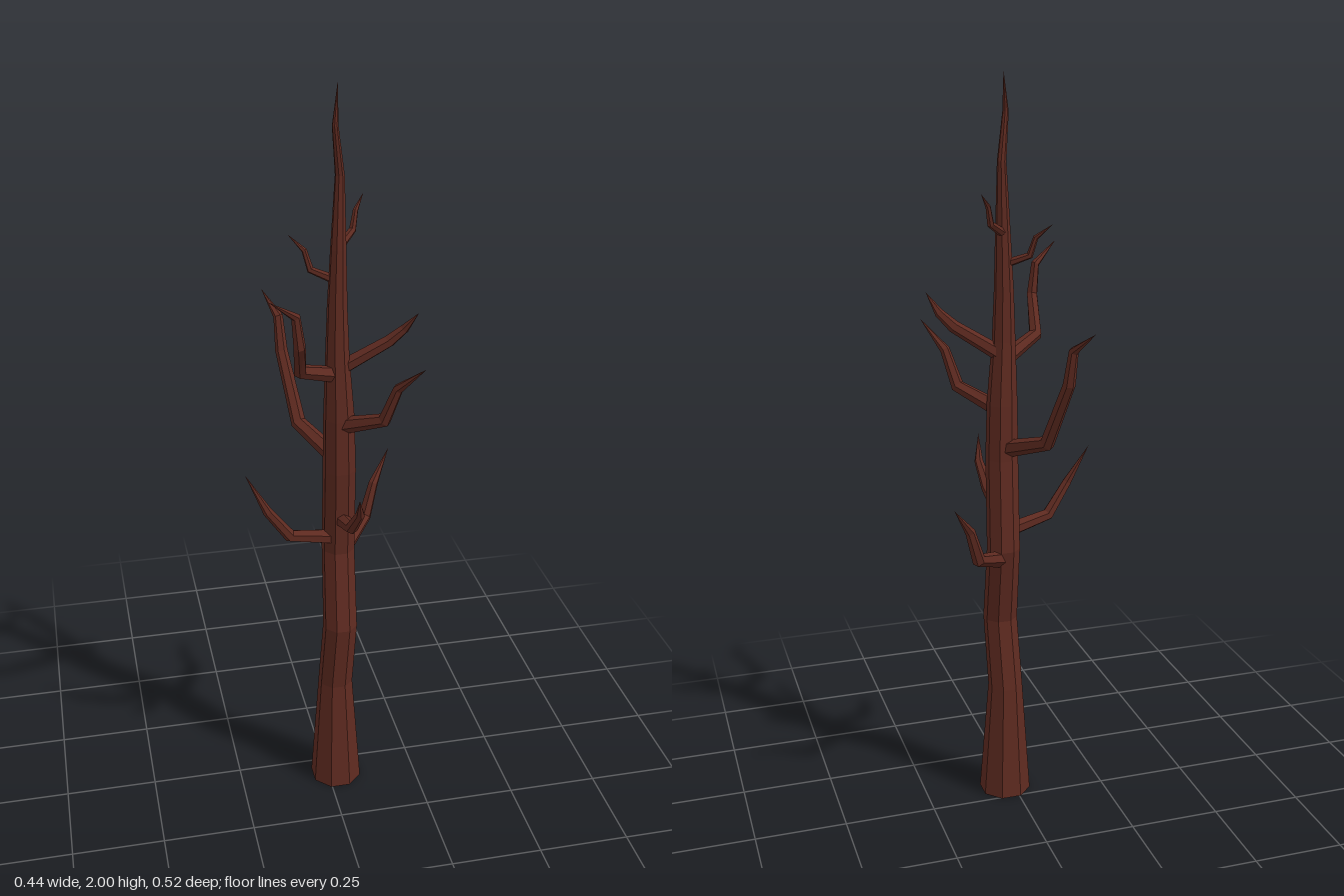
import * as THREE from 'three';

// Faceted tapering limb through [x, y, z, radius] stations; a zero radius makes a point.
function limb(stations, sides, level) {
  const pts = stations.map(s => new THREE.Vector3(s[0], s[1], s[2]));
  const side = new THREE.Vector3(1, 0, 0);
  const last = pts.length - 1;
  const rings = pts.map((p, i) => {
    const before = p.clone().sub(pts[Math.max(i - 1, 0)]).normalize();
    const after = pts[Math.min(i + 1, last)].clone().sub(p).normalize();
    const dir = level ? new THREE.Vector3(0, 1, 0) : before.add(after).normalize();
    if (i === 0 && Math.abs(dir.x) > 0.8) side.set(0, 0, 1);
    side.addScaledVector(dir, -side.dot(dir)).normalize();
    const up = new THREE.Vector3().crossVectors(dir, side);
    return Array.from({ length: sides }, (_, k) => {
      const a = (k + 0.5) / sides * Math.PI * 2;
      return p.clone()
        .addScaledVector(side, Math.cos(a) * stations[i][3])
        .addScaledVector(up, Math.sin(a) * stations[i][3]);
    });
  });
  const tris = [];
  for (let k = 0; k < sides; k++) {
    const n = (k + 1) % sides;
    tris.push(pts[0], rings[0][n], rings[0][k]); // bottom cap
    for (let i = 0; i < last; i++) {
      const [a, b, c, d] = [rings[i][k], rings[i][n], rings[i + 1][n], rings[i + 1][k]];
      tris.push(a, b, c);
      if (stations[i + 1][3] > 0) tris.push(a, c, d);
      else tris.splice(-1, 1, pts[i + 1]);
    }
  }
  const geo = new THREE.BufferGeometry().setFromPoints(tris);
  geo.computeVertexNormals();
  return geo;
}

export function createModel() {
  const tree = new THREE.Group();
  tree.name = 'bareTree';
  const bark = new THREE.MeshStandardMaterial({ color: 0x5e2a20, flatShading: true });
  bark.name = 'bark';
  const add = (name, geo) => {
    const mesh = new THREE.Mesh(geo, bark);
    mesh.name = name;
    tree.add(mesh);
  };

  // Crooked trunk, flared at the foot and ending in a bent spike
  add('trunk', limb([
    [0.024, 0, 0.061, 0.072],
    [0.023, 0.33, 0.056, 0.048],
    [0.03, 0.53, 0.08, 0.047],
    [0.033, 0.75, 0.036, 0.045],
    [0.03, 1.0, 0.058, 0.044],
    [0.028, 1.15, 0.06, 0.041],
    [0.023, 1.32, 0.06, 0.031],
    [0.022, 1.45, 0.06, 0.026],
    [0.024, 1.6, 0.06, 0.02],
    [0.028, 1.78, 0.055, 0.012],
    [0.013, 1.9, 0.07, 0.008],
    [0.02, 2.0, 0.063, 0],
  ], 8, true));

  // Crooked branches: base radius, then points from the trunk to the tip
  const branches = {
    lowBackLeftBranch: [0.023, [0.04, 0.72, 0.03], [0.135, 0.77, -0.08], [0.163, 0.86, -0.1], [0.217, 0.94, -0.15]],
    lowRightBranch: [0.022, [0.03, 0.79, 0.05], [-0.105, 0.82, 0.07], [-0.165, 0.905, 0.083], [-0.22, 1.01, 0.065]],
    lowFrontBranch: [0.021, [0.035, 0.85, 0.06], [0.04, 0.88, 0.165], [0.05, 0.945, 0.215], [0.038, 1.01, 0.26]],
    tallBackBranch: [0.024, [0.02, 1.03, 0.04], [-0.05, 1.075, -0.085], [-0.078, 1.25, -0.17], [-0.082, 1.34, -0.19], [-0.115, 1.395, -0.257]],
    midFrontLeftBranch: [0.023, [0.03, 1.13, 0.07], [0.122, 1.18, 0.162], [0.148, 1.275, 0.19], [0.2, 1.35, 0.255]],
    highLeftBranch: [0.021, [0.025, 1.28, 0.055], [0.15, 1.36, 0.085], [0.185, 1.395, 0.098], [0.213, 1.445, 0.127]],
    highFrontRightBranch: [0.022, [0.02, 1.27, 0.06], [-0.085, 1.315, 0.125], [-0.1, 1.41, 0.2], [-0.11, 1.49, 0.205], [-0.18, 1.545, 0.243]],
    rightTwig: [0.012, [0.02, 1.52, 0.06], [-0.04, 1.543, 0.035], [-0.053, 1.59, 0.025], [-0.09, 1.625, 0]],
    leftTwig: [0.012, [0.025, 1.6, 0.055], [0.07, 1.63, 0.013], [0.08, 1.675, 0.0], [0.105, 1.71, -0.025]],
  };
  for (const [name, [radius, ...points]] of Object.entries(branches)) {
    const end = points.length - 1;
    add(name, limb(points.map((p, i) => [...p, radius * (i === end ? 0 : 1 - 0.62 * i / end)]), 6, false));
  }
  return tree;
}
